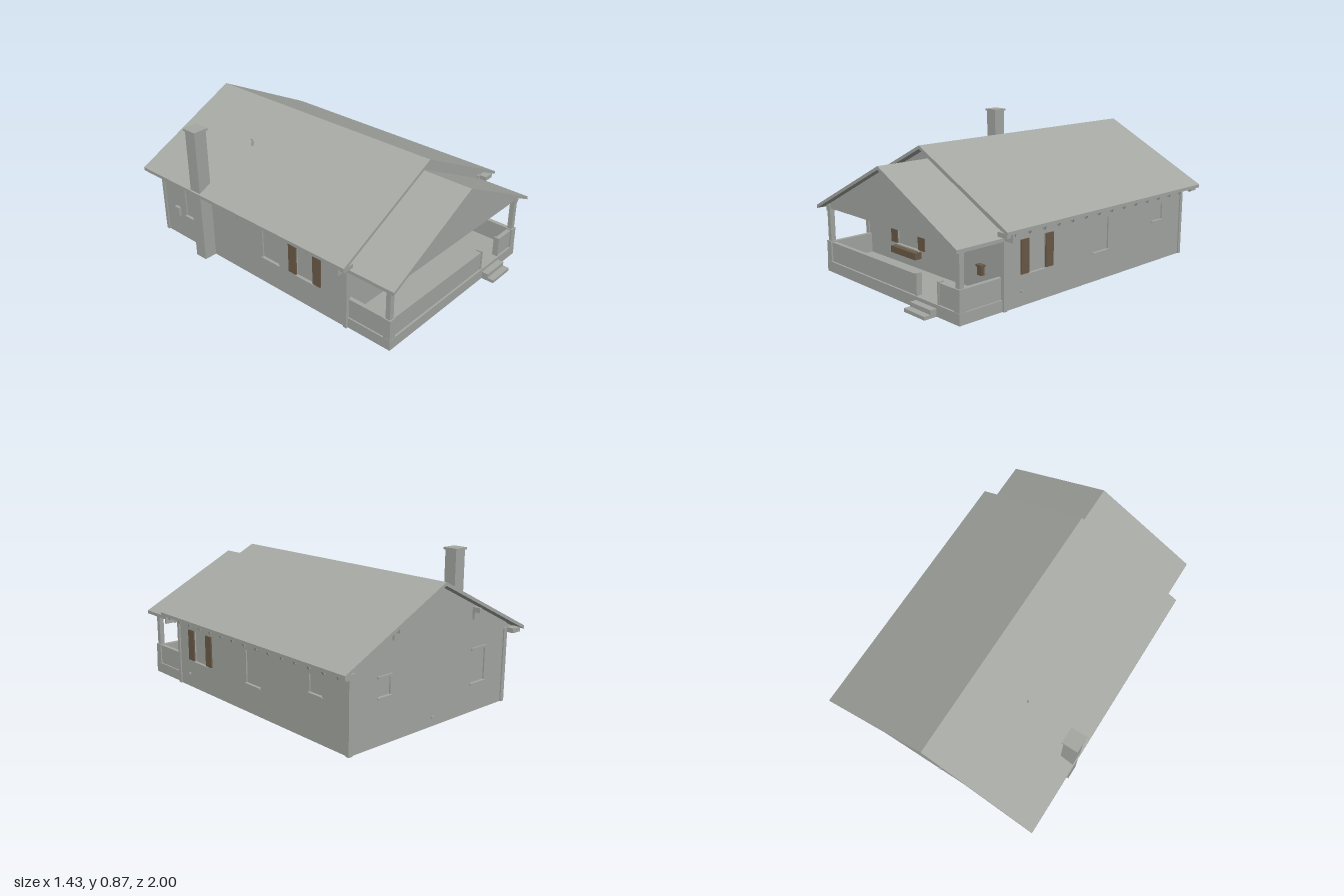
import * as THREE from 'three';

const gray = new THREE.MeshStandardMaterial({ color: 0xa5a8a3 });
gray.name = 'grayHouse';
const brown = new THREE.MeshStandardMaterial({ color: 0x6b5b48 });
brown.name = 'brownWood';

// Box given by its minimum and maximum on each axis
function box(parent, name, x0, x1, y0, y1, z0, z1, mat = gray) {
  const m = new THREE.Mesh(new THREE.BoxGeometry(x1 - x0, y1 - y0, z1 - z0), mat);
  m.position.set((x0 + x1) / 2, (y0 + y1) / 2, (z0 + z1) / 2);
  m.name = name;
  parent.add(m);
  return m;
}

const shapeOf = pts => new THREE.Shape(pts.map(p => new THREE.Vector2(p[0], p[1])));

function extrude(parent, name, shape, z0, z1) {
  const m = new THREE.Mesh(
    new THREE.ExtrudeGeometry(shape, { depth: z1 - z0, bevelEnabled: false }), gray);
  m.position.z = z0;
  m.name = name;
  parent.add(m);
}

// Gabled roof slab as a chevron pushed along z
function roof(parent, name, half, ridge, eave, thick, z0, z1) {
  extrude(parent, name, shapeOf([
    [-half, eave - thick], [0, ridge - thick], [half, eave - thick],
    [half, eave], [0, ridge], [-half, eave]]), z0, z1);
}

// Wall in its own frame: outline on z = 0, outside faces +z, openings filled by recessed panels
function wall(parent, name, outline, angle, x, z, openings) {
  const g = new THREE.Group();
  g.name = name;
  const shape = shapeOf(outline);
  for (const o of openings) {
    const { u, w, y0, y1 } = o, a = u - w / 2, b = u + w / 2;
    const hole = new THREE.Path();
    hole.moveTo(a, y0); hole.lineTo(a, y1); hole.lineTo(b, y1); hole.lineTo(b, y0);
    hole.closePath();
    shape.holes.push(hole);
    box(g, o.door ? 'door' : 'windowPane', a, b, y0, y1, -0.017, -0.009);
    if (!o.door) box(g, 'windowSill', a - 0.007, b + 0.007, y0 - 0.008, y0, -0.005, 0.01);
    if (o.lintel) box(g, 'lintel', a - 0.008, b + 0.008, y1, y1 + 0.014, -0.005, 0.01);
    if (o.shutters) for (const s of [-1, 1]) {
      const c = u + s * (w / 2 + 0.029);
      box(g, 'shutter', c - 0.029, c + 0.029, y0 + 0.004, y1, 0, 0.009, brown);
    }
  }
  extrude(g, 'wallPanel', shape, -0.02, 0);
  g.rotation.y = angle;
  g.position.set(x, 0, z);
  parent.add(g);
  return g;
}

export function createModel() {
  const house = new THREE.Group();
  house.name = 'house';
  const W = 0.625, F = 0.62, B = -0.935;

  // Main walls
  const gable = [[-W, 0], [W, 0], [W, 0.484], [0, 0.796], [-W, 0.484]];
  const front = wall(house, 'frontWall', gable, 0, 0, F, [
    { u: -0.202, w: 0.205, y0: 0.178, y1: 0.368, lintel: true, shutters: true },
    { u: 0.35, w: 0.134, y0: 0.065, y1: 0.33, lintel: true, door: true }]);
  const back = wall(house, 'backWall', gable, Math.PI, 0, B, [
    { u: -0.38, w: 0.09, y0: 0.265, y1: 0.365, lintel: true },
    { u: 0.38, w: 0.12, y0: 0.175, y1: 0.37, lintel: true }]);
  const side = [[-F, 0], [-B, 0], [-B, 0.484], [-F, 0.484]];
  const right = wall(house, 'leftSideWall', side, Math.PI / 2, W, 0, [
    { u: -0.379, w: 0.128, y0: 0.175, y1: 0.37, shutters: true },
    { u: 0.15, w: 0.13, y0: 0.175, y1: 0.37 },
    { u: 0.685, w: 0.1, y0: 0.265, y1: 0.365 }]);
  const mirrored = [[B, 0], [F, 0], [F, 0.484], [B, 0.484]];
  const left = wall(house, 'rightSideWall', mirrored, -Math.PI / 2, -W, 0, [
    { u: -0.66, w: 0.13, y0: 0.175, y1: 0.37 },
    { u: 0.04, w: 0.13, y0: 0.175, y1: 0.37 },
    { u: 0.315, w: 0.128, y0: 0.175, y1: 0.37, shutters: true }]);

  // Small wall fittings
  box(front, 'windowBox', -0.32, -0.08, 0.13, 0.17, 0, 0.045, brown);
  box(front, 'planterBody', 0.44, 0.474, 0.165, 0.213, 0, 0.024, brown);
  box(front, 'planterRim', 0.434, 0.48, 0.213, 0.225, 0, 0.03, brown);
  box(front, 'wallLamp', 0.226, 0.258, 0.258, 0.31, 0, 0.014);
  box(right, 'faucet', -0.505, -0.495, 0.08, 0.092, 0, 0.015);
  box(left, 'meterBox', -0.82, -0.78, 0.155, 0.215, 0, 0.02);
  box(back, 'vent', -0.012, 0.012, 0.05, 0.06, 0, 0.008);

  // Corner boards, one on each side of every corner
  for (const s of [-1, 1]) for (const [z, d] of [[F, 1], [B, -1]]) {
    const xa = s * (W - 0.02), xb = s * (W + 0.008);
    const za = z - d * 0.015, zb = z + d * 0.008;
    box(house, 'cornerBoard', Math.min(xa, xb), Math.max(xa, xb), 0, 0.45,
      Math.min(za, zb), Math.max(za, zb));
  }

  // Roofs
  roof(house, 'mainRoof', 0.715, 0.815, 0.46, 0.02, -1, 0.68);
  roof(house, 'porchRoof', 0.65, 0.735, 0.411, 0.02, F, 0.957);
  extrude(house, 'porchGable', shapeOf([[-0.64, 0.394], [0.64, 0.394], [0, 0.716]]), 0.885, 0.91);

  // Rafter tails under both eaves, and brackets under the gable overhangs
  for (const s of [-1, 1]) {
    for (let i = 0; i < 15; i++) {
      const z = 0.61 - i * 0.11;
      const tail = box(house, 'rafterTail', -0.043, 0.043, -0.013, 0.013, -0.006, 0.006);
      tail.position.set(s * 0.66, 0.449, z);
      tail.rotation.z = -s * 0.461;
    }
    for (const x of [0.32, 0.665]) {
      const y = 0.79 - 0.497 * x;
      const w = x > 0.5 ? 0.034 : 0.009;
      box(house, 'gableBeam', s * x - w, s * x + w, y - 0.036, y - 0.008, -0.985, B);
      if (x < 0.5) box(house, 'bracketLeg', s * x - w, s * x + w, y - 0.08, y - 0.03, B - 0.015, B);
    }
    box(house, 'frontEaveBeam', s * 0.665 - 0.034, s * 0.665 + 0.034, 0.42, 0.446, F, 0.67);
    box(house, 'eaveReturn', s * 0.68 - 0.032, s * 0.68 + 0.032, 0.395, 0.445, 0.625, 0.64);
  }

  // Porch base, open underneath
  box(house, 'porchFloor', -0.62, 0.62, 0.055, 0.065, F, 0.92);
  box(house, 'porchSkirt', -0.62, 0.62, 0, 0.055, 0.905, 0.92);
  for (const s of [-1, 1]) {
    box(house, 'porchSkirt', s * 0.6125 - 0.0075, s * 0.6125 + 0.0075, 0, 0.055, F, 0.905);
    // Side railing, pedestal and column
    box(house, 'sideRailing', s * 0.598 - 0.013, s * 0.598 + 0.013, 0.065, 0.185, F, 0.872);
    box(house, 'pedestal', s * 0.597 - 0.022, s * 0.597 + 0.022, 0.065, 0.19, 0.872, 0.918);
    box(house, 'column', s * 0.597 - 0.015, s * 0.597 + 0.015, 0.19, 0.425, 0.88, 0.91);
    box(house, 'columnCap', s * 0.597 - 0.02, s * 0.597 + 0.02, 0.375, 0.418, 0.875, 0.914);
  }
  // Front railings with end posts beside the entry
  for (const [a, b, p] of [[-0.576, 0.25, 0.255], [0.445, 0.576, 0.442]]) {
    box(house, 'frontRailing', a, b, 0.065, 0.183, 0.882, 0.908);
    box(house, 'railingPost', p - 0.006, p + 0.006, 0.065, 0.19, 0.877, 0.913);
  }

  // Entry steps
  box(house, 'upperStep', 0.262, 0.436, 0, 0.045, 0.92, 0.96);
  box(house, 'lowerStep', 0.262, 0.436, 0, 0.02, 0.96, 1);

  // Chimney and vent pipe
  box(house, 'chimney', -0.708, -0.624, 0, 0.852, -0.548, -0.464);
  box(house, 'chimneyCap', -0.715, -0.616, 0.852, 0.866, -0.556, -0.456);
  const pipe = new THREE.Mesh(new THREE.CylinderGeometry(0.006, 0.006, 0.07, 10), gray);
  pipe.position.set(-0.315, 0.667, -0.415);
  pipe.name = 'ventPipe';
  house.add(pipe);

  return house;
}
